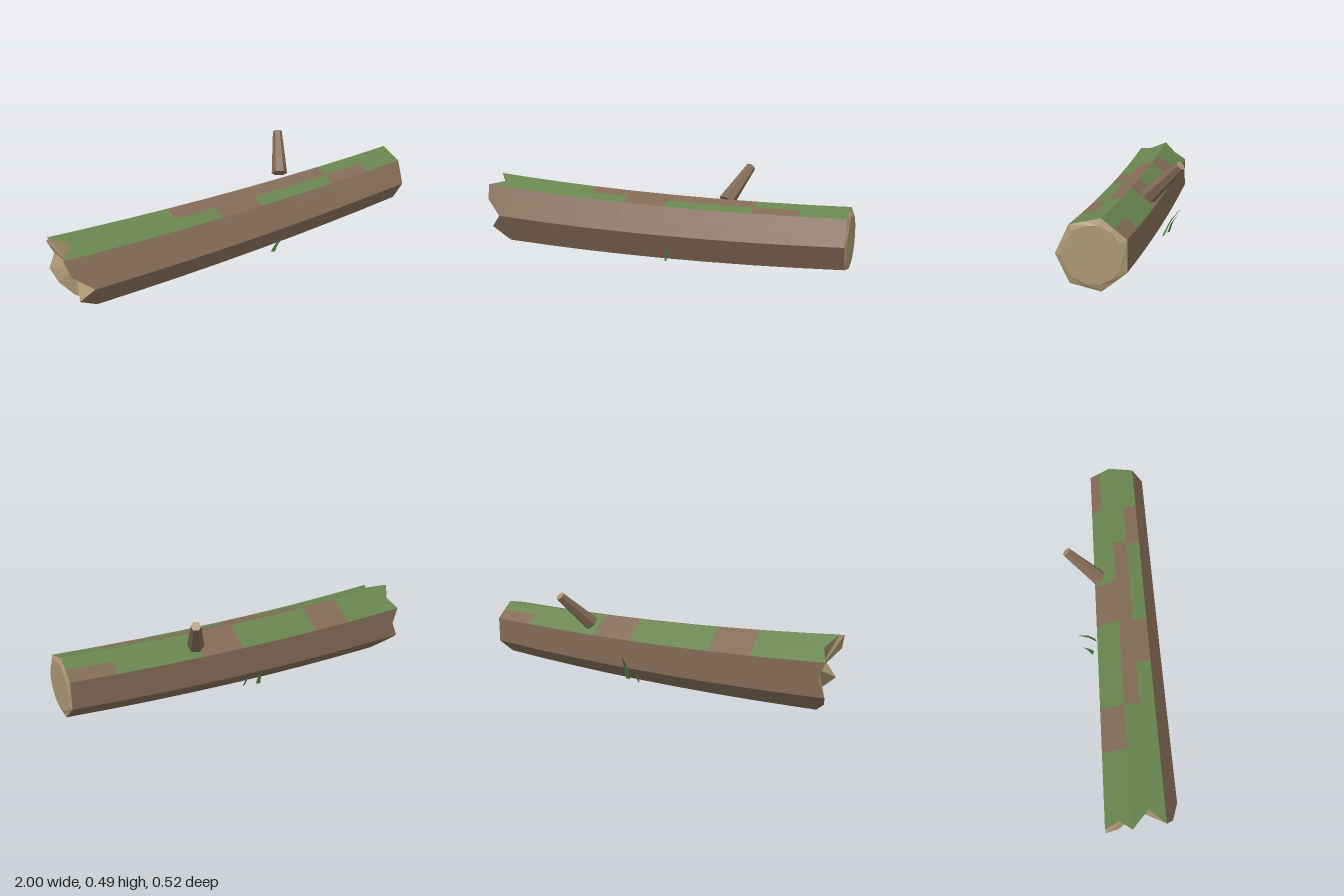
import * as THREE from 'three';

const V = (x, y, z) => new THREE.Vector3(x, y, z);

export function createModel() {
  const mat = (name, color) => Object.assign(new THREE.MeshStandardMaterial({ color, flatShading: true }), { name });
  const bark = mat('bark', 0x836b57);
  const moss = mat('moss', 0x69854f);
  const wood = mat('cut wood', 0xaa9773);
  const grass = mat('grass', 0x4f7d40);
  grass.side = THREE.DoubleSide;

  const model = new THREE.Group();
  model.name = 'fallenLog';
  const add = (name, geometry, material, parent = model) => {
    const mesh = new THREE.Mesh(geometry, material);
    mesh.name = name;
    parent.add(mesh);
    return mesh;
  };
  // Geometry from a flat list of triangle corners
  const facets = (points) => {
    const g = new THREE.BufferGeometry().setFromPoints(points);
    g.computeVertexNormals();
    return g;
  };

  // Seven-sided trunk; every side is halved, giving 14 points per ring
  const N = 14;
  const radius = (x) => 0.1755 - 0.0185 * x;
  const centre = (x) => V(x, 0.177 + 0.028 * x * x, 0.051);
  const corner = (k, x) => {
    const a = (k * Math.PI * 2) / 7;
    return centre(x).add(V(0, Math.sin(a), Math.cos(a)).multiplyScalar(radius(x)));
  };
  const trunkPoint = (j, x) =>
    j % 2 ? corner((j - 1) / 2, x).lerp(corner((j + 1) / 2, x), 0.5) : corner(j / 2, x);

  // Splintered end: how far each point of the first ring reaches
  const splinters = [-0.87, -0.96, -0.98, -0.91, -1, -0.95, -0.98, -0.95, -0.985, -0.965, -0.91, -0.87, -0.85, -0.94];
  const stations = [-0.84, -0.61, -0.385, -0.155, 0.075, 0.305, 0.53, 0.76, 0.99];
  const rings = [splinters, ...stations.map((x) => Array(N).fill(x))]
    .map((xs) => xs.map((x, j) => trunkPoint(j, x)));

  // Moss cells on the two upper sides, one string per strip (m = moss)
  const mossCells = { 2: 'mmmmbmmbm', 3: 'mmmbbbbmm', 4: 'mmbmmbmmm', 5: 'mmbmmbmmb' };
  const barkTris = [], mossTris = [];
  for (let i = 0; i < rings.length - 1; i++) {
    for (let j = 0; j < N; j++) {
      const n = (j + 1) % N;
      const [a, b, c, d] = [rings[i][j], rings[i + 1][j], rings[i + 1][n], rings[i][n]];
      const target = mossCells[j]?.[i] === 'm' ? mossTris : barkTris;
      target.push(a, b, c, a, c, d);
    }
  }
  add('trunkBark', facets(barkTris), bark);
  add('mossPatches', facets(mossTris), moss);

  // Hollowed splintered end and bevelled sawn end
  const brokenTris = [], sawnTris = [];
  const hollow = centre(-0.9), face = centre(1);
  const inner = Array.from({ length: N }, (_, j) => {
    const a = (j * Math.PI * 2) / N;
    return face.clone().add(V(0, Math.sin(a) * 0.125, Math.cos(a) * 0.125));
  });
  const last = rings[rings.length - 1];
  for (let j = 0; j < N; j++) {
    const n = (j + 1) % N;
    brokenTris.push(hollow, rings[0][j], rings[0][n]);
    sawnTris.push(last[j], inner[j], inner[n], last[j], inner[n], last[n], face, inner[n], inner[j]);
  }
  add('brokenEnd', facets(brokenTris), wood);
  add('sawnEnd', facets(sawnTris), wood);

  // Branch stub, tapering to a sawn tip
  const base = V(0.335, 0.315, -0.077), tip = V(0.418, 0.481, -0.241);
  const axis = tip.clone().sub(base);
  const branch = add('branchStub', new THREE.CylinderGeometry(0.025, 0.043, axis.length(), 6), [bark, wood, bark]);
  branch.position.copy(base).add(tip).multiplyScalar(0.5);
  branch.quaternion.setFromUnitVectors(V(0, 1, 0), axis.normalize());

  // Bent grass blades: base, bend, tip and half-width direction
  const blades = [
    [V(0.115, 0.047, 0.222), V(0.125, 0.103, 0.24), V(0.145, 0.153, 0.264), V(0.009, 0, 0.006)],
    [V(0.02, 0.047, 0.168), V(0.02, 0.09, 0.15), V(0.018, 0.13, 0.13), V(0.004, 0, 0.006)],
    [V(0.076, 0.047, -0.116), V(0.07, 0.13, -0.156), V(0.055, 0.198, -0.212), V(0.01, 0, -0.005)],
    [V(0, 0.047, -0.135), V(0.001, 0.1, -0.153), V(0.003, 0.146, -0.187), V(0.01, 0, 0.005)],
  ];
  const tuft = new THREE.Group();
  tuft.name = 'grassBlades';
  model.add(tuft);
  for (const [foot, bend, end, w] of blades) {
    const [a, b] = [foot.clone().sub(w), foot.clone().add(w)];
    const [c, d] = [bend.clone().addScaledVector(w, 0.7), bend.clone().addScaledVector(w, -0.7)];
    add('grassBlade', facets([a, b, c, a, c, d, d, c, end]), grass, tuft);
  }
  return model;
}
